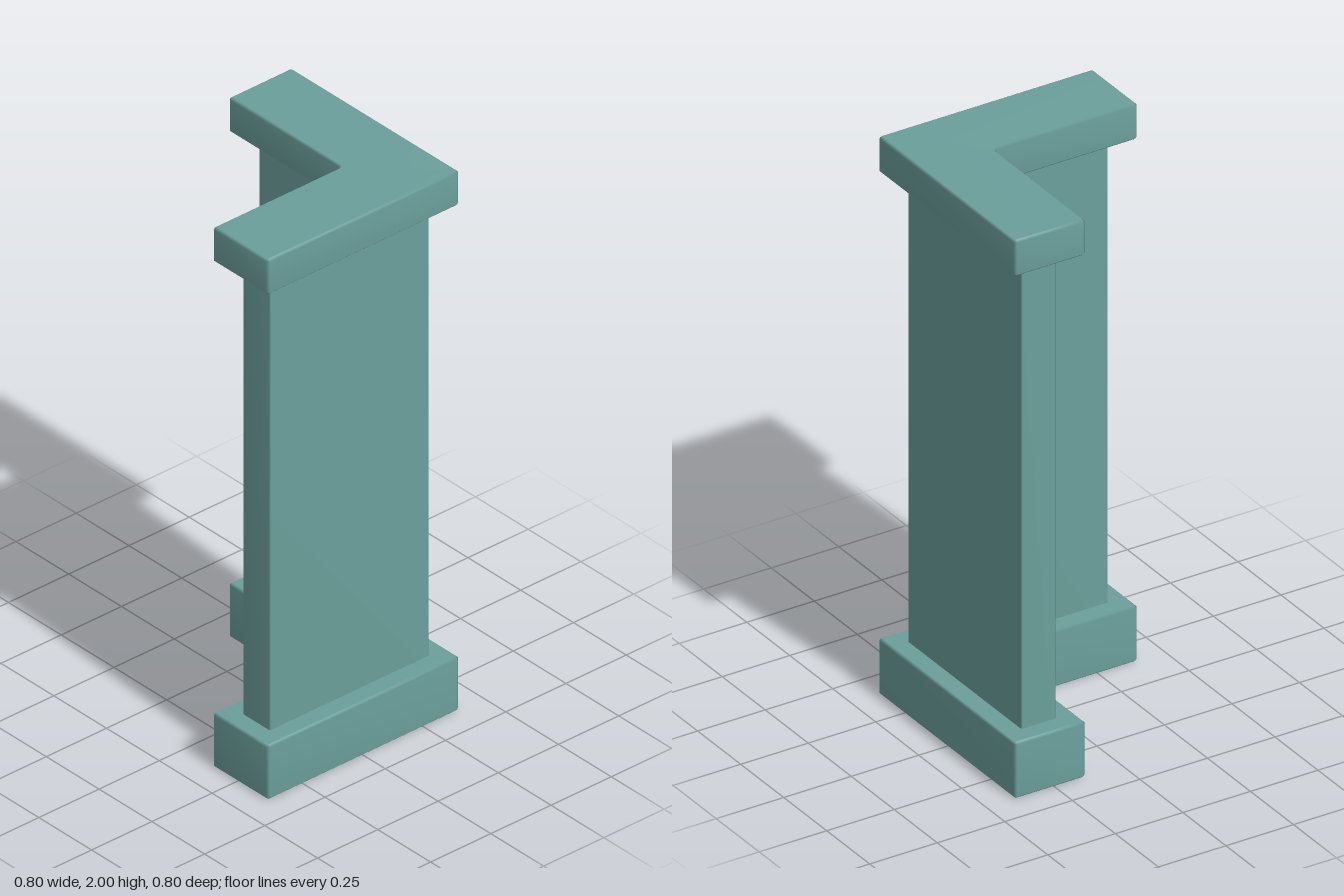
import * as THREE from 'three';
import { mergeVertices } from 'three/addons/utils/BufferGeometryUtils.js';

// L-shaped outline with every corner cut by c; its outer corner ends up at +x, +z
function lShape(outer, inner, c) {
  const p = [[-outer, -outer], [outer, -outer], [outer, outer], [inner, outer], [inner, -inner], [-outer, -inner]]
    .map(([x, y]) => new THREE.Vector2(x, y));
  const points = [];
  p.forEach((corner, k) => {
    const prev = p[(k + p.length - 1) % p.length];
    const next = p[(k + 1) % p.length];
    for (const neighbour of [prev, next]) {
      points.push(neighbour.clone().sub(corner).setLength(c).add(corner));
    }
  });
  return new THREE.Shape(points);
}

// Upright block from y0 to y1 with softly shaded bevels
function lBlock(name, outer, inner, y0, y1, bevel, material) {
  const extruded = new THREE.ExtrudeGeometry(lShape(outer, inner, bevel * 1.2), {
    depth: y1 - y0 - 2 * bevel,
    bevelSize: bevel,
    bevelThickness: bevel,
    bevelOffset: -bevel,
    bevelSegments: 1,
  });
  extruded.rotateX(-Math.PI / 2).translate(0, y0 + bevel, 0);
  extruded.deleteAttribute('uv');
  extruded.deleteAttribute('normal');
  extruded.clearGroups();
  const geometry = mergeVertices(extruded, 1e-5);
  geometry.computeVertexNormals();
  const mesh = new THREE.Mesh(geometry, material);
  mesh.name = name;
  return mesh;
}

export function createModel() {
  const group = new THREE.Group();
  group.name = 'cornerPillar';
  const teal = new THREE.MeshStandardMaterial({ color: 0x6b9f9b });
  teal.name = 'mutedTeal';

  group.add(
    lBlock('base', 0.398, 0.135, 0, 0.2, 0.007, teal),
    // The shaft runs slightly into the base and the cap
    lBlock('shaft', 0.331, 0.202, 0.18, 1.89, 0.004, teal),
    lBlock('cap', 0.398, 0.135, 1.872, 2, 0.007, teal),
  );
  return group;
}
